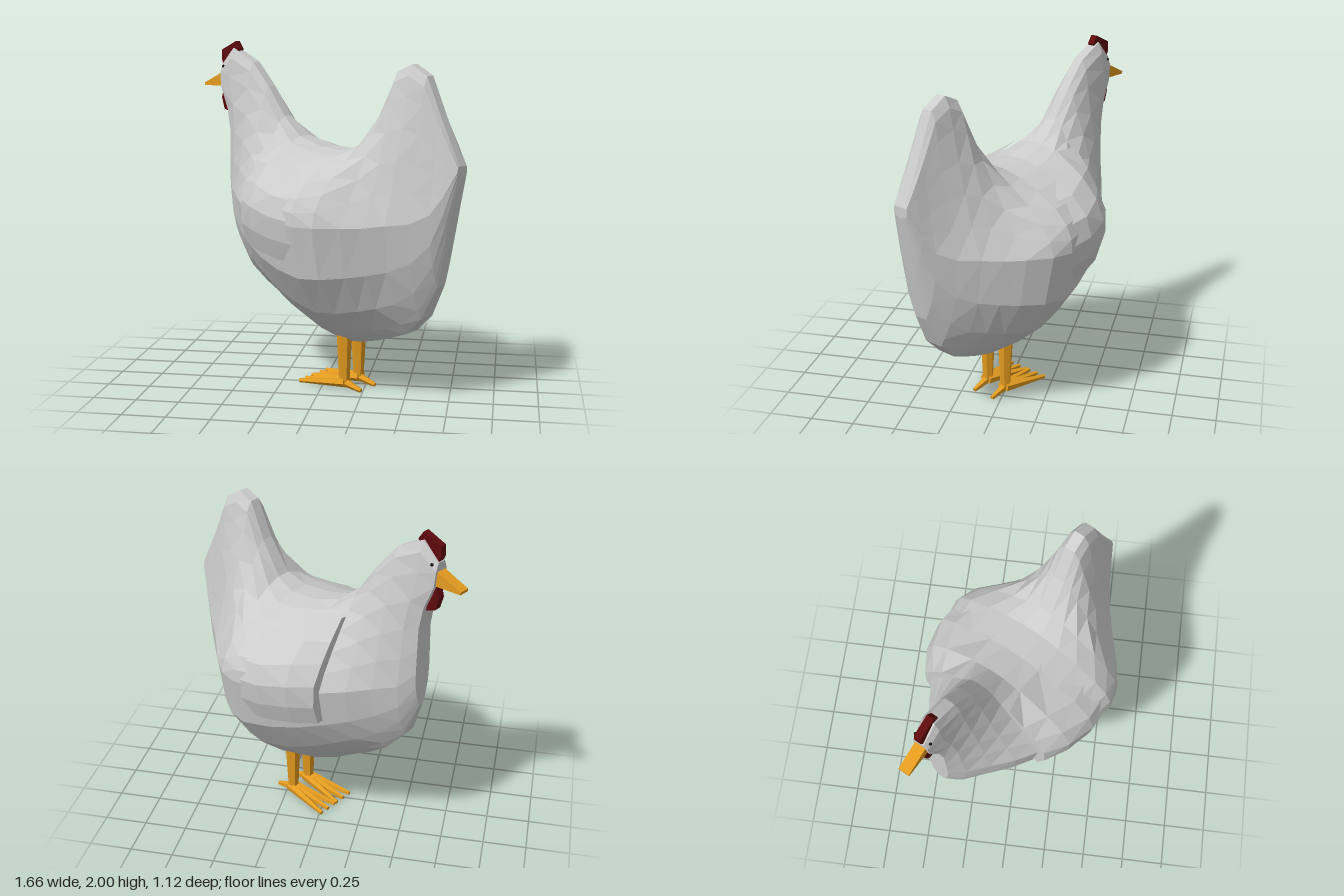
import * as THREE from 'three';

const mat = (color) => new THREE.MeshStandardMaterial({ color, flatShading: true });
const lerp = THREE.MathUtils.lerp;

// Body stations from breast to tail: x, bottom y, widest y, top y, half width, top half width, upper curve
const stations = [
  [-0.71, 0.98, 1.20, 1.86, 0.06, 0.045, 1.0],
  [-0.64, 0.78, 1.12, 1.96, 0.125, 0.05, 1.0],
  [-0.53, 0.65, 1.10, 1.88, 0.21, 0.05, 0.95],
  [-0.42, 0.57, 1.08, 1.74, 0.30, 0.05, 0.95],
  [-0.30, 0.50, 1.06, 1.57, 0.375, 0.05, 1.2],
  [-0.17, 0.42, 1.05, 1.46, 0.45, 0.08, 2.1],
  [0.00, 0.34, 1.04, 1.41, 0.515, 0.1, 2.7],
  [0.17, 0.295, 1.03, 1.40, 0.55, 0.1, 2.6],
  [0.29, 0.305, 1.03, 1.45, 0.52, 0.07, 1.8],
  [0.41, 0.335, 1.03, 1.64, 0.435, 0.055, 0.95],
  [0.50, 0.365, 1.03, 1.85, 0.355, 0.05, 0.75],
  [0.59, 0.40, 1.04, 1.89, 0.275, 0.05, 0.75],
  [0.69, 0.50, 1.05, 1.83, 0.195, 0.05, 0.75],
  [0.78, 0.69, 1.10, 1.62, 0.13, 0.05, 0.9],
  [0.84, 0.98, 1.20, 1.49, 0.09, 0.05, 1.0],
  [0.90, 1.30, 1.33, 1.36, 0.05, 0.045, 1.0],
];

function stationAt(x) {
  let i = 0;
  while (i < stations.length - 2 && stations[i + 1][0] < x) i++;
  const a = stations[i], b = stations[i + 1];
  const t = (x - a[0]) / (b[0] - a[0]);
  return a.map((v, k) => lerp(v, b[k], t));
}

// Half width of the body at height y: rounded hull on a narrow flat keel, dome or tapering fin above
function halfWidth([, bottom, mid, top, w, wTop, p], y) {
  if (y < mid) {
    const keel = Math.min(0.06, w * 0.3);
    return keel + (w - keel) * (1 - ((mid - y) / (mid - bottom)) ** 2.3);
  }
  const t = Math.min(1, (y - mid) / (top - mid));
  return wTop + (w - wTop) * (1 - t ** p);
}

// Surface through rows of points, each quad split along its shorter diagonal
function gridMesh(name, rows, material) {
  const n = rows[0].length, points = rows.flat(), index = [];
  for (let i = 0; i < rows.length - 1; i++) {
    for (let j = 0; j < n - 1; j++) {
      const a = i * n + j, b = a + n, c = b + 1, d = a + 1;
      if (points[a].distanceTo(points[c]) < points[b].distanceTo(points[d])) index.push(a, b, c, a, c, d);
      else index.push(a, b, d, b, c, d);
    }
  }
  const geo = new THREE.BufferGeometry().setFromPoints(points);
  geo.setIndex(index);
  geo.computeVertexNormals();
  const mesh = new THREE.Mesh(geo, material);
  mesh.name = name;
  return mesh;
}

function makeBody(material) {
  const levels = [0, 0.1, 0.3, 0.6, 1]; // bottom to widest
  const upper = [0.2, 0.4, 0.6, 0.8, 0.93, 1]; // widest to top
  const rows = stations.map((s) => {
    const ys = [...levels.map((t) => lerp(s[1], s[2], t)), ...upper.map((t) => lerp(s[2], s[3], t))];
    const side = ys.map((y) => {
      // the head juts forward over the throat
      const reach = THREE.MathUtils.clamp((-0.5 - s[0]) / 0.2, 0, 1);
      const jut = 0.085 * reach * THREE.MathUtils.smoothstep(y, 1.5, 1.78);
      const z = y === s[3] ? s[5] * 0.6 : halfWidth(s, y);
      return new THREE.Vector3(s[0] - jut, y, z);
    });
    const other = side.map((v) => new THREE.Vector3(v.x, v.y, -v.z)).reverse();
    return [...side, ...other, side[0].clone()];
  });
  // flat closing rows on the centre plane
  const flat = (row) => row.map((v) => new THREE.Vector3(v.x, v.y, 0));
  return gridMesh('body', [flat(rows[0]), ...rows, flat(rows.at(-1))], material);
}

// Folded wing: a raised shell over the flank that sinks into the body at the back
function makeWing(side, material) {
  const xs = [-0.3, -0.3, -0.17, 0, 0.17, 0.3];
  const vs = [0, 0, 0.2, 0.42, 0.62, 0.8, 1];
  const rows = xs.map((x, i) => {
    const s = stationAt(x);
    const t = (x + 0.3) / 0.6;
    const low = lerp(0.87, 0.79, t), high = Math.min(s[3] - 0.02, 1.43);
    const row = vs.map((v, j) => {
      const y = lerp(low, high, v);
      const hem = 0.03 * Math.max(0, 1 - v / 0.35) + 0.03 * v ** 3; // thinner at the lower and upper edges
      const lift = i === 0 || j === 0 ? -0.04 : lerp(0.06, -0.05, t * t) - hem;
      return new THREE.Vector3(x, y + Math.max(lift, 0) * 0.4 * v, side * (halfWidth(s, y) + lift));
    });
    return side > 0 ? row : row.reverse();
  });
  return gridMesh(side > 0 ? 'rightSideWing' : 'leftSideWing', rows, material);
}

// Flat plate cut from an outline in the x-y plane, centred on z = 0
function plate(name, points, thickness, material) {
  const shape = new THREE.Shape(points.map(([x, y]) => new THREE.Vector2(x, y)));
  const geo = new THREE.ExtrudeGeometry(shape, { depth: thickness, bevelEnabled: false });
  geo.translate(0, 0, -thickness / 2);
  const mesh = new THREE.Mesh(geo, material);
  mesh.name = name;
  return mesh;
}

// Tapered rod between two points
function rod(name, a, b, ra, rb, sides, material) {
  const dir = b.clone().sub(a);
  const mesh = new THREE.Mesh(new THREE.CylinderGeometry(rb, ra, dir.length(), sides), material);
  mesh.position.copy(a).addScaledVector(dir, 0.5);
  mesh.quaternion.setFromUnitVectors(new THREE.Vector3(0, 1, 0), dir.normalize());
  mesh.name = name;
  return mesh;
}

function makeLeg(side, material) {
  const leg = new THREE.Group();
  leg.name = side > 0 ? 'rightSideLeg' : 'leftSideLeg';
  const V = (x, y, z) => new THREE.Vector3(x, y, z);
  leg.add(rod('shank', V(0, 0.04, 0), V(0, 0.33, 0), 0.03, 0.045, 6, material));
  for (const spread of [-0.06, 0, 0.06]) {
    leg.add(rod('toe', V(0.015, 0.05, spread * 0.2), V(-0.285, 0.016, spread), 0.03, 0.013, 5, material));
  }
  leg.add(rod('backToe', V(-0.01, 0.05, 0), V(0.12, 0.016, 0), 0.028, 0.013, 5, material));
  leg.position.set(0.175, 0, side * 0.07);
  return leg;
}

export function createModel() {
  const grey = mat(0xcccccc), orange = mat(0xe39b1f), red = mat(0x5e0b0d), black = mat(0x151515);
  const hen = new THREE.Group();
  hen.name = 'hen';
  hen.add(makeBody(grey));

  for (const side of [1, -1]) {
    hen.add(makeWing(side, grey), makeLeg(side, orange));
    const eye = new THREE.Mesh(new THREE.SphereGeometry(0.009, 8, 6), black);
    eye.name = 'eye';
    eye.position.set(-0.768, 1.85, side * 0.046);
    hen.add(eye);
  }

  hen.add(
    plate('beak', [[-0.76, 1.73], [-0.76, 1.82], [-0.8, 1.81], [-0.94, 1.745], [-0.94, 1.73]], 0.064, orange),
    plate('comb', [[-0.79, 1.86], [-0.805, 1.895], [-0.8, 1.95], [-0.69, 2.0], [-0.66, 1.955], [-0.68, 1.92]], 0.04, red),
    plate('wattle', [[-0.73, 1.74], [-0.785, 1.735], [-0.805, 1.66], [-0.785, 1.59], [-0.725, 1.57], [-0.7, 1.62]], 0.045, red),
  );

  // the bird stands turned a little to one side
  hen.rotation.y = THREE.MathUtils.degToRad(-28.5);
  hen.position.set(0.017, 0, -0.03);

  const model = new THREE.Group();
  model.name = 'model';
  model.add(hen);
  return model;
}
